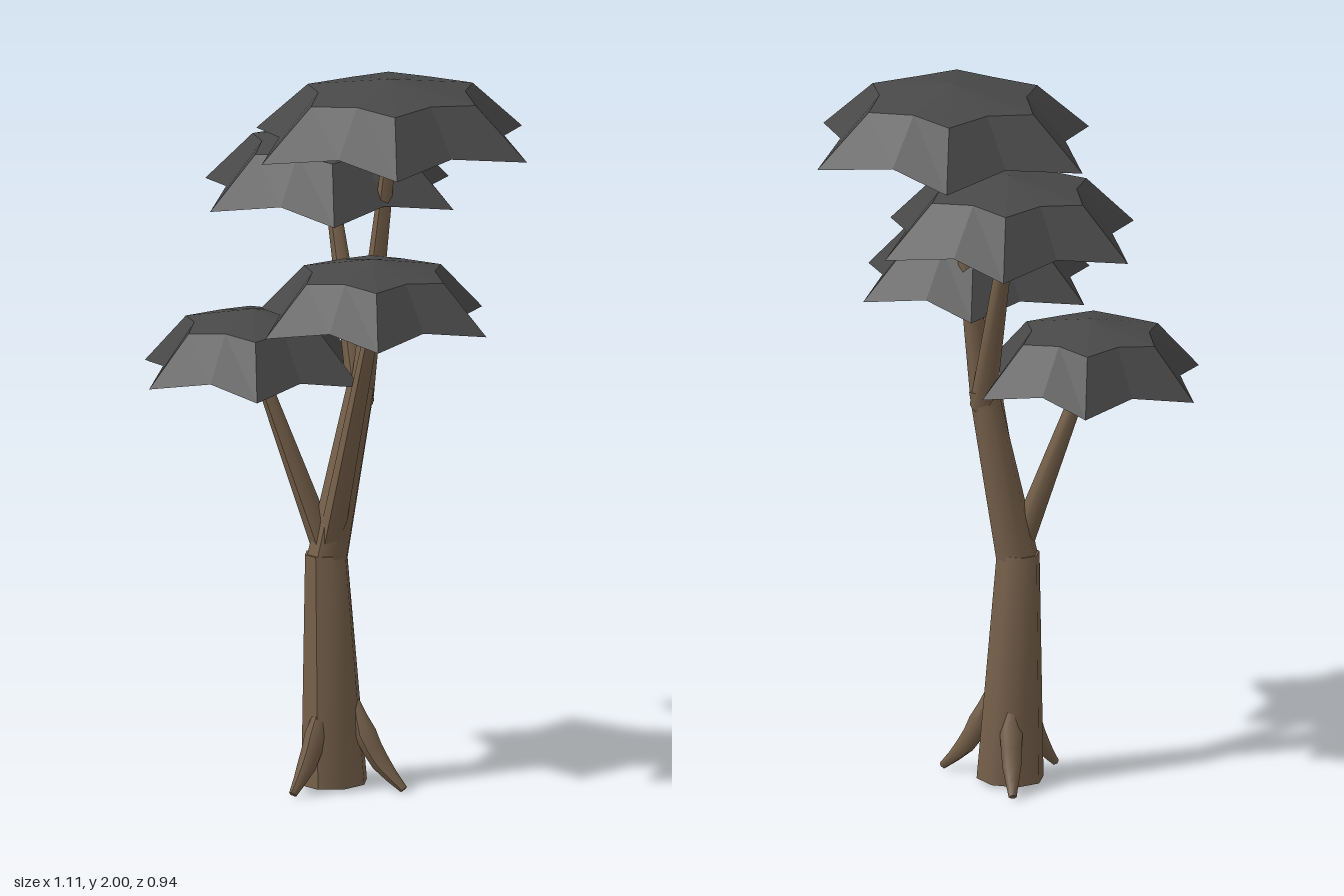
import * as THREE from 'three';

const bark = new THREE.MeshStandardMaterial({ color: 0x75604a });
bark.name = 'bark brown';
const leaf = new THREE.MeshStandardMaterial({ color: 0x484848 });
leaf.name = 'foliage charcoal';

const v = (p) => new THREE.Vector3(...p);

// Tapered limb: a cylinder whose rings follow a path, with one radius per path point
function limb(name, points, radii, sides = 6, smooth = 0) {
  const pts = points.map(v);
  const n = smooth || pts.length - 1;
  const curve = new THREE.CatmullRomCurve3(pts);
  const geo = new THREE.CylinderGeometry(1, 1, 1, sides, n);
  const pos = geo.attributes.position;
  const up = new THREE.Vector3(0, 1, 0);
  const q = new THREE.Quaternion();
  const p = new THREE.Vector3();
  for (let i = 0; i < pos.count; i++) {
    p.fromBufferAttribute(pos, i);
    const t = THREE.MathUtils.clamp(p.y + 0.5, 0, 1);
    const f = t * (radii.length - 1);
    const k = Math.min(Math.floor(f), radii.length - 2);
    const r = THREE.MathUtils.lerp(radii[k], radii[k + 1], f - k);
    q.setFromUnitVectors(up, curve.getTangent(t));
    p.set(p.x * r, 0, p.z * r).applyQuaternion(q).add(curve.getPoint(t));
    pos.setXYZ(i, p.x, p.y, p.z);
  }
  geo.computeVertexNormals();
  const mesh = new THREE.Mesh(geo, bark);
  mesh.name = name;
  return mesh;
}

// Faceted six-pointed dome; odd columns are points, even columns are valleys
function canopy(name, x, y, z, radius, height) {
  const rows = [ // [point radius, point height, valley radius, valley height]
    [0, 0, 0, 0],
    [1, 0.08, 0.735, 0.2],
    [0.62, 0.78, 0.48, 0.82],
    [0, 1, 0, 1],
  ];
  const lathe = new THREE.LatheGeometry(rows.map((r) => new THREE.Vector2(r[0], r[1])), 12);
  const pos = lathe.attributes.position;
  for (let i = 0; i < pos.count; i++) {
    const column = Math.floor(i / rows.length);
    const row = rows[i % rows.length];
    const o = column % 2 ? 0 : 2;
    const a = (column * Math.PI) / 6;
    const r = row[o] * radius;
    pos.setXYZ(i, Math.sin(a) * r, row[o + 1] * height, Math.cos(a) * r);
  }
  const geo = lathe.toNonIndexed();
  geo.computeVertexNormals();
  const mesh = new THREE.Mesh(geo, leaf);
  mesh.name = name;
  mesh.position.set(x, y, z);
  return mesh;
}

export function createModel() {
  const tree = new THREE.Group();
  tree.name = 'tree';

  // Trunk, bent at mid height
  tree.add(limb('lowerTrunk', [[-0.017, 0.012, 0.042], [-0.035, 0.66, 0.055]], [0.094, 0.06], 8));
  tree.add(limb('upperTrunk', [[-0.035, 0.63, 0.055], [0.045, 1.13, 0.002]], [0.059, 0.04], 8));

  // Branches, each reaching a canopy
  const branches = [
    ['topBranch', [0.045, 1.08, 0.003], [0.128, 1.82, -0.015], 0.034],
    ['backBranch', [0.045, 1.08, 0], [-0.115, 1.65, -0.12], 0.036],
    ['frontLeftBranch', [-0.025, 0.66, 0.06], [0.18, 1.39, 0.172], 0.036],
    ['frontRightBranch', [-0.03, 0.66, 0.06], [-0.205, 1.18, 0.132], 0.036],
  ];
  for (const [name, from, to, r] of branches) tree.add(limb(name, [from, to], [r, 0.018]));

  // Flaring roots, thick in the middle and pointed at the ground
  const roots = [['leftRoot', 0.2, 0.03], ['frontRoot', -0.05, 0.228], ['backRoot', -0.122, -0.11]];
  for (const [name, x, z] of roots) {
    const at = (f, y) => [-0.015 + (x + 0.015) * f, y, 0.045 + (z - 0.045) * f];
    tree.add(limb(name, [at(0.97, 0.012), at(0.65, 0.08), at(0.43, 0.16), at(0.3, 0.25)],
      [0.011, 0.026, 0.031, 0.01], 6, 6));
  }

  // Canopies
  tree.add(canopy('topCanopy', 0.13, 1.797, -0.018, 0.42, 0.203));
  tree.add(canopy('backCanopy', -0.122, 1.605, -0.128, 0.385, 0.205));
  tree.add(canopy('frontLeftCanopy', 0.178, 1.345, 0.177, 0.35, 0.195));
  tree.add(canopy('frontRightCanopy', -0.222, 1.143, 0.13, 0.335, 0.2));

  return tree;
}
